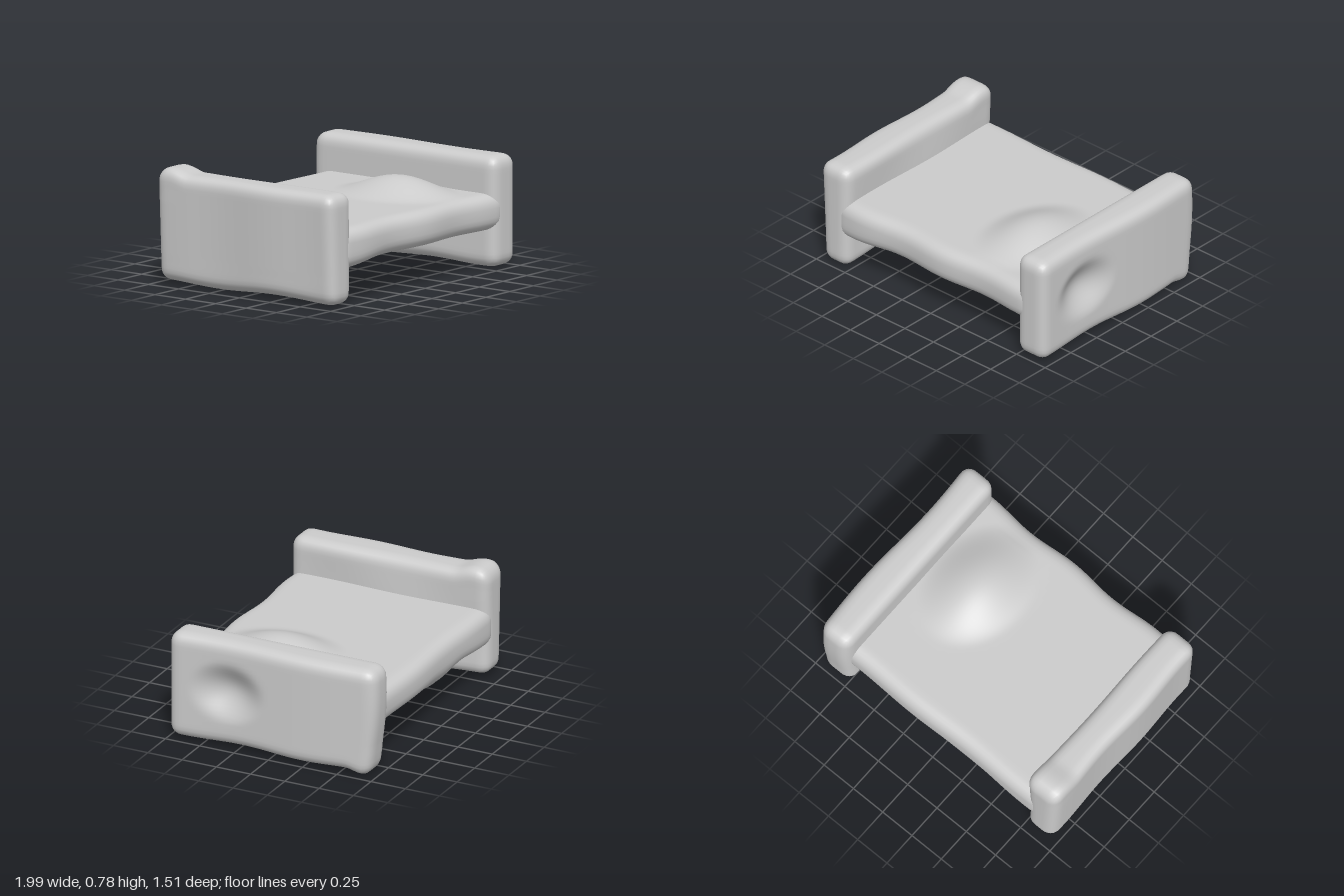
import * as THREE from 'three';
import { mergeVertices } from 'three/addons/utils/BufferGeometryUtils.js';

const material = new THREE.MeshStandardMaterial({ color: 0xcccccc });

// Smooth falloff: 1 at the centre, 0 at the rim of an ellipse
function bump(u, v, ru, rv) {
  const d = Math.min(1, Math.hypot(u / ru, v / rv));
  return (1 - d * d) ** 2;
}

// A dense box with rounded edges whose vertices are then shifted by sculpt(v)
function lump(name, min, max, radius, sculpt) {
  const lo = new THREE.Vector3(...min), hi = new THREE.Vector3(...max);
  const size = hi.clone().sub(lo), mid = lo.clone().add(hi).multiplyScalar(0.5);
  const segs = size.toArray().map((s) => Math.ceil(s / 0.03));
  let geo = new THREE.BoxGeometry(size.x, size.y, size.z, ...segs);
  geo.translate(mid.x, mid.y, mid.z);
  geo.deleteAttribute('normal');
  geo.deleteAttribute('uv');
  geo = mergeVertices(geo);
  const innerLo = lo.clone().addScalar(radius), innerHi = hi.clone().subScalar(radius);
  const pos = geo.attributes.position, v = new THREE.Vector3(), core = new THREE.Vector3();
  for (let i = 0; i < pos.count; i++) {
    v.fromBufferAttribute(pos, i);
    core.copy(v).clamp(innerLo, innerHi);
    v.sub(core).setLength(radius).add(core);
    sculpt(v);
    pos.setXYZ(i, v.x, v.y, v.z);
  }
  geo.computeVertexNormals();
  const mesh = new THREE.Mesh(geo, material);
  mesh.name = name;
  return mesh;
}

export function createModel() {
  const group = new THREE.Group();
  group.name = 'bench';

  // Slab between the end panels, with a swelling on top and a sag underneath
  group.add(lump('slab', [-0.87, 0.27, -0.7], [0.87, 0.51, 0.735], 0.09, (v) => {
    const { x, z } = v;
    if (v.y > 0.39) {
      v.y += 0.115 * bump(x - 0.42, z - 0.2, 0.36, 0.48);
    } else {
      v.y -= 0.19 * bump(x + 0.22, z + 0.36, 0.46, 0.38);
      v.y -= 0.03 * bump(x + 0.85, 0, 0.5, 1);
    }
    if (z > 0.6) v.z += 0.012 * Math.sin(x * 9 + 1);
    if (z < -0.6) v.z -= 0.006 * Math.sin(x * 7);
  }));

  // End panel at -x: leans outwards at the top, back top corner raised
  group.add(lump('rightEndPanel', [-0.975, 0.03, -0.7], [-0.745, 0.755, 0.74], 0.075, (v) => {
    const { y, z } = v;
    if (v.x < -0.86) v.x -= 0.02 * (y - 0.3) / 0.45 + 0.008 * Math.sin(z * 8);
    else v.x += 0.012 * Math.sin(z * 6 + 2) * Math.sin(y * 5);
    if (y > 0.6) v.y += 0.035 * bump(z + 0.6, 0, 0.16, 1);
    if (y < 0.2) v.y += 0.01 * Math.sin(z * 7);
  }));

  // End panel at +x: dent in its outer face, wavy back edge, one low back corner
  group.add(lump('leftEndPanel', [0.735, 0.025, -0.73], [0.975, 0.755, 0.745], 0.075, (v) => {
    const { y, z } = v;
    if (v.x > 0.87) {
      v.x += 0.012 * Math.sin(z * 5 + 3);
      v.x -= 0.085 * bump(z - 0.32, y - 0.4, 0.29, 0.22);
    }
    if (z < -0.5) v.z -= 0.03 * Math.sin((y - 0.2) * 4.5) * ((-z - 0.5) / 0.23);
    if (y < 0.2) v.y -= 0.025 * bump(z + 0.67, 0, 0.14, 1) - 0.006 * Math.sin(z * 8);
  }));

  return group;
}
